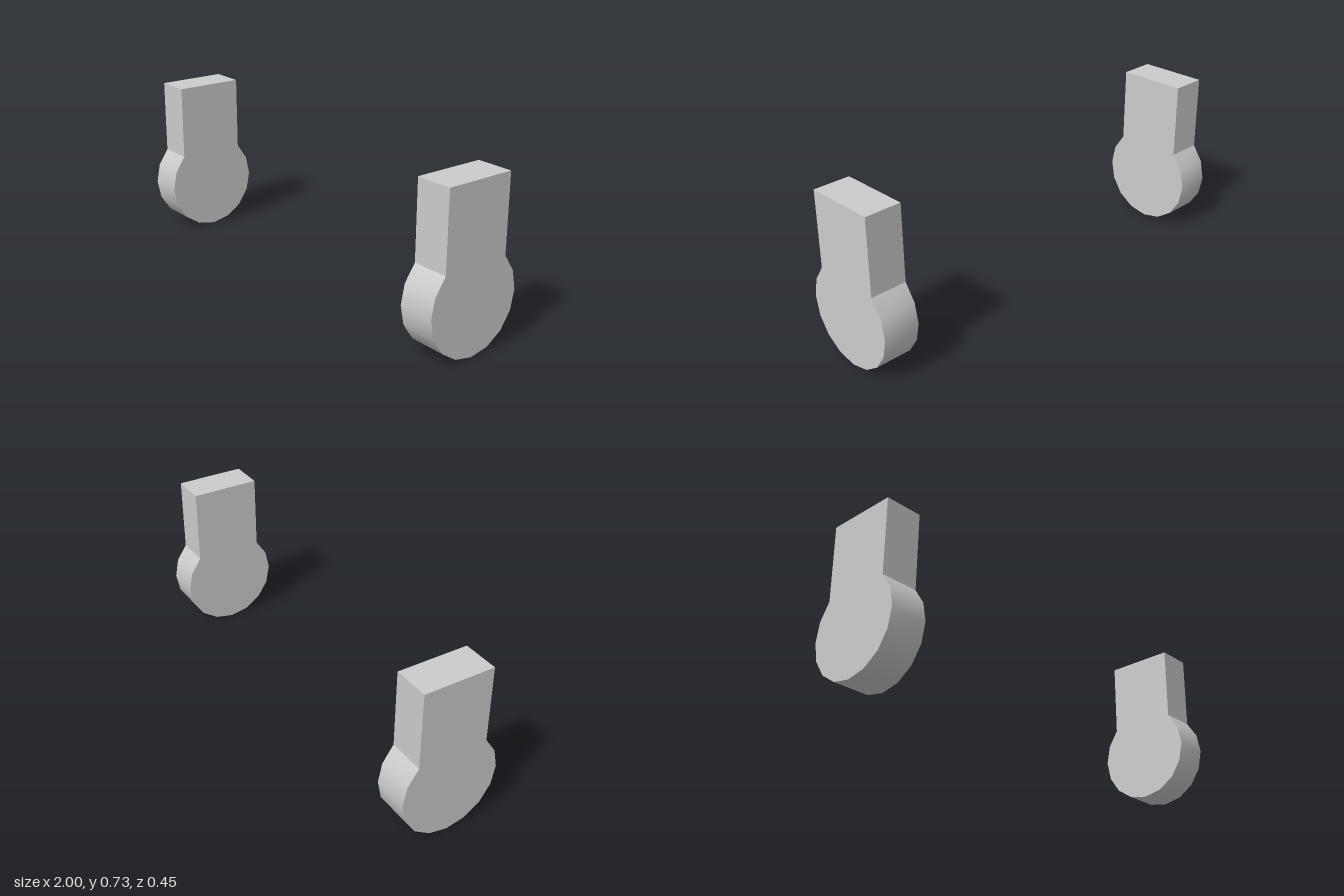
import * as THREE from 'three';
import { toCreasedNormals } from 'three/addons/utils/BufferGeometryUtils.js';

const RADIUS = 0.226;
const HEIGHT = 0.73;
const THICKNESS = 0.165;
const SEGMENTS = 16;

// Side outline: a square-topped plate running into a round foot
function footOutline() {
  const points = [];
  const step = (Math.PI * 2) / SEGMENTS;
  for (let i = 2; i <= SEGMENTS - 2; i++) {
    const a = Math.PI / 2 - i * step;
    points.push(new THREE.Vector2(RADIUS * Math.cos(a), RADIUS + RADIUS * Math.sin(a)));
  }
  const half = RADIUS * Math.SQRT1_2;
  points.push(new THREE.Vector2(-half, HEIGHT), new THREE.Vector2(half, HEIGHT));
  return new THREE.Shape(points);
}

export function createModel() {
  const group = new THREE.Group();
  group.name = 'feet';
  const material = new THREE.MeshStandardMaterial({ color: 0xcccccc });

  // Extruded sideways, smooth around the rim and sharp elsewhere
  const extruded = new THREE.ExtrudeGeometry(footOutline(), { depth: THICKNESS, bevelEnabled: false });
  extruded.translate(0, 0, -THICKNESS / 2);
  extruded.rotateY(Math.PI / 2);
  const geometry = toCreasedNormals(extruded, 0.5);

  // One foot on each side
  for (const side of [-1, 1]) {
    const foot = new THREE.Mesh(geometry, material);
    foot.name = side > 0 ? 'leftFoot' : 'rightFoot';
    foot.position.x = side * (1 - THICKNESS / 2);
    group.add(foot);
  }
  return group;
}
